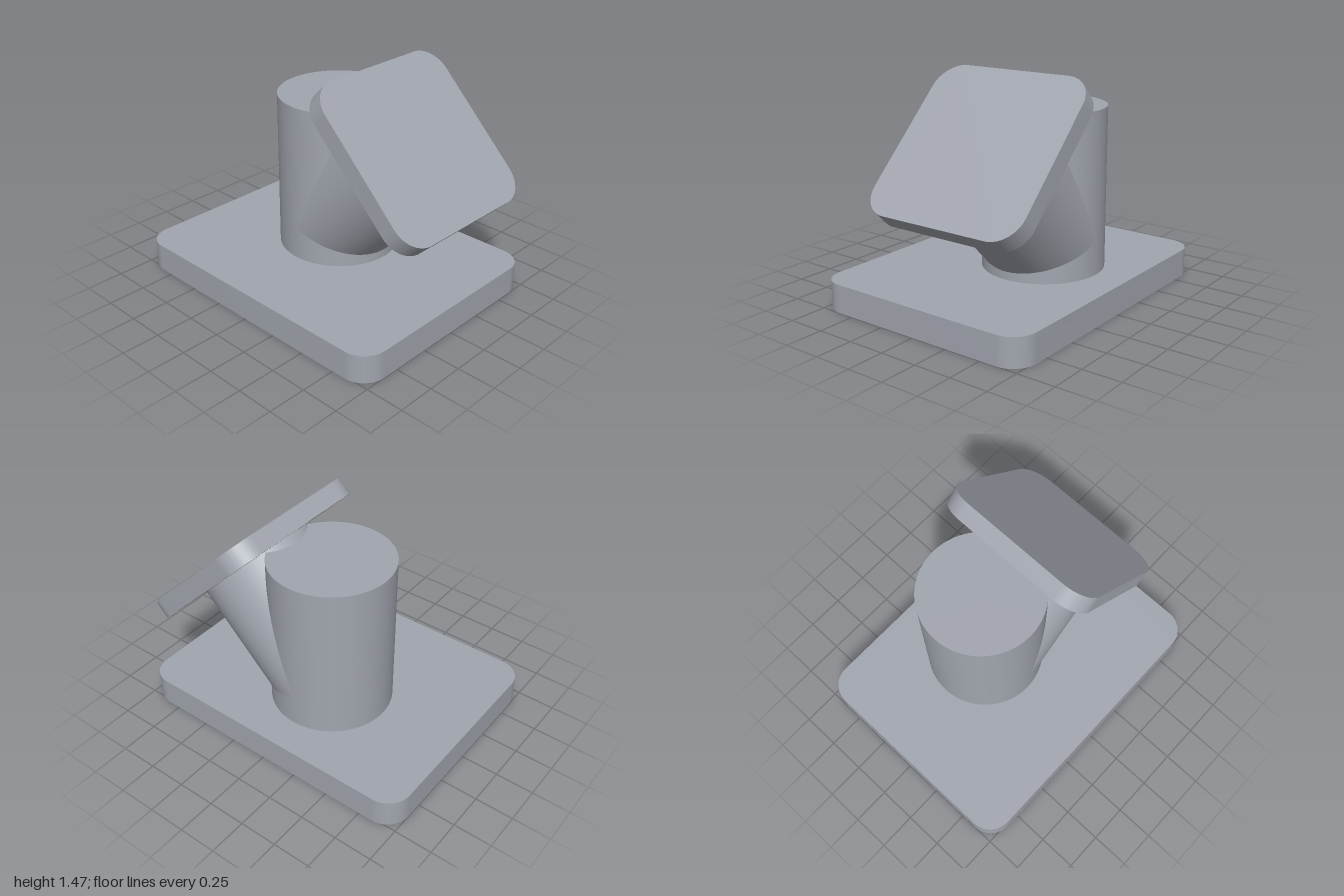
import * as THREE from 'three';
import { toCreasedNormals } from 'three/addons/utils/BufferGeometryUtils.js';

// Rounded rectangle centred on the origin
function roundedRect(w, h, r) {
  const s = new THREE.Shape();
  const x = w / 2 - r, y = h / 2 - r;
  s.absarc(x, y, r, 0, Math.PI / 2);
  s.absarc(-x, y, r, Math.PI / 2, Math.PI);
  s.absarc(-x, -y, r, Math.PI, Math.PI * 1.5);
  s.absarc(x, -y, r, Math.PI * 1.5, Math.PI * 2);
  s.closePath();
  return s;
}

// Flat slab lying in XZ, with its underside at y = 0
function slab(w, d, thickness, r) {
  const geo = new THREE.ExtrudeGeometry(roundedRect(w, d, r), {
    depth: thickness, bevelEnabled: false, curveSegments: 16,
  });
  geo.rotateX(-Math.PI / 2);
  return toCreasedNormals(geo, 0.5);
}

export function createModel() {
  const steel = new THREE.MeshStandardMaterial({ color: 0xa1a5ae });
  steel.name = 'steelGrey';
  const ochre = new THREE.MeshStandardMaterial({ color: 0xa8905a });
  ochre.name = 'ochre';

  const model = new THREE.Group();
  model.name = 'angledPipeFitting';
  const add = (parent, name, geo, mat = steel) => {
    const mesh = new THREE.Mesh(geo, mat);
    mesh.name = name;
    parent.add(mesh);
    return mesh;
  };

  const radius = 0.397, axisZ = -0.155, baseHeight = 0.185, columnTop = 1.232;

  // Base plate
  add(model, 'basePlate', slab(2, 1.536, baseHeight, 0.16));

  // Upright column
  const columnHeight = columnTop - baseHeight;
  add(model, 'column', new THREE.CylinderGeometry(radius, radius, columnHeight, 96))
    .position.set(-0.08, baseHeight + columnHeight / 2, axisZ);

  // Branch at 45 degrees; its origin is the centre of the flange underside
  const branch = new THREE.Group();
  branch.name = 'angledBranch';
  branch.position.set(0.513, 0.996, axisZ);
  branch.rotation.z = -Math.PI / 4;
  model.add(branch);

  const branchLength = 0.84;
  add(branch, 'branchTube', new THREE.CylinderGeometry(radius, radius, branchLength, 96))
    .position.y = -branchLength / 2;
  add(branch, 'branchFlange', slab(1.106, 1.106, 0.12, 0.18));

  // Coloured underside of the flange
  const under = new THREE.ShapeGeometry(roundedRect(1.106, 1.106, 0.18), 16);
  under.rotateX(Math.PI / 2);
  add(branch, 'flangeUnderside', under, ochre).position.y = -0.002;

  return model;
}
